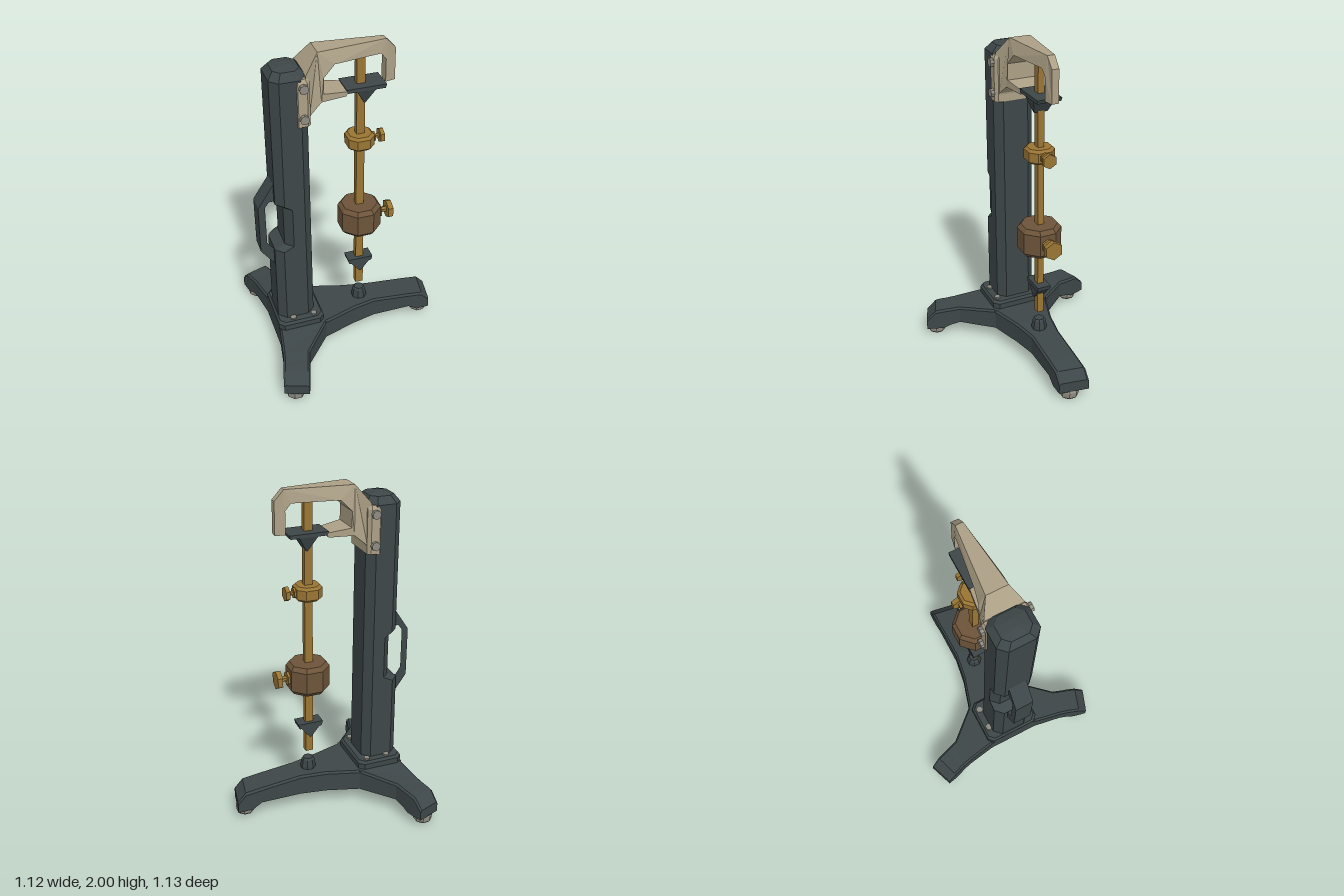
import * as THREE from 'three';

const mat = (name, color) => Object.assign(new THREE.MeshStandardMaterial({ color, flatShading: true }), { name });

// Closed solid through convex rings of equal point count; winding is corrected by signed volume.
function loft(rings) {
  const n = rings[0].length, pts = rings.flat(), idx = [];
  for (let r = 0; r < rings.length - 1; r++)
    for (let i = 0; i < n; i++) {
      const a = r * n + i, b = r * n + (i + 1) % n;
      idx.push(a, b, b + n, a, b + n, a + n);
    }
  const last = (rings.length - 1) * n;
  for (let i = 1; i < n - 1; i++) idx.push(0, i + 1, i, last, last + i, last + i + 1);
  const v = pts.map(p => new THREE.Vector3(...p));
  let vol = 0;
  for (let i = 0; i < idx.length; i += 3)
    vol += v[idx[i]].dot(v[idx[i + 1]].clone().cross(v[idx[i + 2]]));
  if (vol < 0) idx.reverse();
  const g = new THREE.BufferGeometry().setFromPoints(v);
  g.setIndex(idx);
  const flat = g.toNonIndexed();
  flat.computeVertexNormals();
  return flat;
}

// Horizontal rectangle with cut corners
const octRing = (y, x0, x1, hz, c) => [
  [x0 + c, y, -hz], [x1 - c, y, -hz], [x1, y, -hz + c], [x1, y, hz - c],
  [x1 - c, y, hz], [x0 + c, y, hz], [x0, y, hz - c], [x0, y, -hz + c]];

// Eight-sided turned solid with its flats facing the axes; profile is [flat radius, y]
function turned(profile, sides = 8) {
  const k = 1 / Math.cos(Math.PI / sides);
  const pts = profile.map(([r, y]) => new THREE.Vector2(r * k, y));
  pts.unshift(new THREE.Vector2(0, profile[0][1]));
  pts.push(new THREE.Vector2(0, profile[profile.length - 1][1]));
  return new THREE.LatheGeometry(pts, sides, Math.PI / sides);
}

function extruded(outline, holes, depth) {
  const s = new THREE.Shape(outline.map(p => new THREE.Vector2(...p)));
  for (const h of holes) s.holes.push(new THREE.Path(h.map(p => new THREE.Vector2(...p))));
  return new THREE.ExtrudeGeometry(s, { depth, bevelEnabled: false }).translate(0, 0, -depth / 2);
}

export function createModel() {
  const iron = mat('dark iron', 0x3d4648);
  const cream = mat('cream casting', 0xaca086);
  const brass = mat('brass', 0x997533);
  const bronze = mat('brown bronze', 0x6d543a);
  const steel = mat('dull steel', 0x8e8b82);
  const model = new THREE.Group();
  const add = (name, geo, m, x = 0, y = 0, z = 0) => {
    const mesh = new THREE.Mesh(geo, m);
    mesh.name = name;
    mesh.position.set(x, y, z);
    model.add(mesh);
    return mesh;
  };

  // Tripod base: hub and three drooping legs with chamfered top edges
  const hub = y => [[-0.2, y, -0.18], [-0.2, y, 0.18], [-0.49, y, 0.16], [-0.49, y, -0.16]];
  add('baseHub', loft([hub(0.1), hub(0.23)]), iron);
  const legRing = ([ax, az, bx, bz, top, bot]) => {
    const t = 0.012 / Math.hypot(bx - ax, bz - az), dx = (bx - ax) * t, dz = (bz - az) * t;
    return [[ax, bot, az], [ax, top - 0.012, az], [ax + dx, top, az + dz],
      [bx - dx, top, bz - dz], [bx, top - 0.012, bz], [bx, bot, bz]];
  };
  const longLeg = [
    [-0.2, -0.18, -0.2, 0.18, 0.23, 0.1], [0.0, -0.12, 0.0, 0.118, 0.23, 0.1],
    [0.16, -0.095, 0.15, 0.085, 0.225, 0.1], [0.41, -0.095, 0.39, 0.085, 0.198, 0.1],
    [0.47, -0.095, 0.45, 0.085, 0.19, 0.062], [0.51, -0.095, 0.48, 0.085, 0.185, 0.062],
    [0.56, -0.095, 0.53, 0.085, 0.13, 0.062]];
  add('frontLeg', loft(longLeg.map(legRing)), iron);
  const sideLeg = [
    [-0.2, 0.18, -0.49, 0.16, 0.23, 0.1], [-0.36, 0.365, -0.52, 0.34, 0.208, 0.1],
    [-0.38, 0.43, -0.535, 0.4, 0.2, 0.08], [-0.39, 0.465, -0.545, 0.43, 0.197, 0.062],
    [-0.405, 0.51, -0.553, 0.46, 0.19, 0.062], [-0.425, 0.567, -0.565, 0.515, 0.13, 0.062]];
  for (const s of [1, -1])
    add('sideLeg', loft(sideLeg.map(([ax, az, bx, bz, t, b]) => legRing([ax, az * s, bx, bz * s, t, b]))), iron);

  // Levelling feet
  for (const [x, z] of [[0.49, 0], [-0.487, 0.48], [-0.487, -0.48]])
    add('foot', turned([[0.042, 0], [0.052, 0.012], [0.054, 0.045], [0.045, 0.064]]), steel, x, 0, z);

  // Underside boss, column plate and its bolts, stop post
  add('undersideBoss', turned([[0.075, 0.036], [0.1, 0.05], [0.11, 0.075], [0.11, 0.105]]), iron, -0.352);
  add('columnPlate', loft([octRing(0.225, -0.49, -0.205, 0.175, 0.03), octRing(0.265, -0.49, -0.205, 0.175, 0.03),
    octRing(0.28, -0.478, -0.217, 0.163, 0.03)]), iron);
  for (const x of [-0.395, -0.265])
    for (const z of [0.135, -0.135])
      add('plateBolt', new THREE.CylinderGeometry(0.019, 0.019, 0.02, 8), steel, x, 0.28, z);
  add('stopPost', turned([[0.045, 0.215], [0.042, 0.25], [0.036, 0.285], [0.028, 0.297]]), iron, 0.075);

  // Column, notched behind the grip, with a domed top
  const column = [[0.27, -0.475], [0.79, -0.472], [0.82, -0.412], [1.08, -0.412], [1.11, -0.457], [1.885, -0.455]]
    .map(([y, back]) => octRing(y, back, -0.25, 0.122, 0.045));
  column.push(octRing(1.925, -0.425, -0.28, 0.085, 0.035), octRing(1.938, -0.375, -0.325, 0.025, 0.01));
  add('column', loft(column), iron);

  // Grip loop on the back of the column
  add('gripLoop', extruded(
    [[-0.4, 0.67], [-0.475, 0.675], [-0.55, 0.78], [-0.55, 1.085], [-0.455, 1.23], [-0.4, 1.23]],
    [[[-0.51, 0.835], [-0.51, 1.085], [-0.485, 1.118], [-0.432, 1.118], [-0.411, 1.085], [-0.411, 0.82], [-0.432, 0.785], [-0.48, 0.792]]],
    0.11), iron);

  // Bracket clamp and its cross bolts
  add('clamp', loft([octRing(1.61, -0.33, -0.243, 0.127, 0.018), octRing(1.865, -0.33, -0.243, 0.127, 0.018),
    octRing(1.887, -0.32, -0.25, 0.115, 0.018)]), cream);
  for (const y of [1.66, 1.84])
    for (const s of [1, -1])
      add('clampBolt', new THREE.CylinderGeometry(0.026, 0.026, 0.026, 8).rotateX(Math.PI / 2), steel, -0.283, y, s * 0.134);

  // Overhanging arm, extruded from the side and narrowed towards its tip and top edge
  const arm = extruded(
    [[-0.255, 1.615], [-0.24, 1.665], [-0.175, 1.72], [-0.03, 1.72], [-0.015, 1.745], [-0.16, 1.765],
      [-0.16, 1.86], [-0.095, 1.925], [0.175, 1.925], [0.207, 1.885], [0.207, 1.75], [0.265, 1.75],
      [0.265, 1.94], [0.21, 2], [-0.185, 2], [-0.265, 1.9]], [], 2);
  const widths = [[-0.27, 0.115], [-0.175, 0.09], [0.2, 0.034], [0.27, 0.02]];
  const halfWidth = x => {
    const i = Math.max(1, widths.findIndex(w => w[0] >= x));
    const [x0, w0] = widths[i - 1], [x1, w1] = widths[i];
    return w0 + (w1 - w0) * (x - x0) / (x1 - x0);
  };
  const p = arm.attributes.position;
  for (let i = 0; i < p.count; i++)
    p.setZ(i, p.getZ(i) * halfWidth(p.getX(i)) * (p.getY(i) > 1.98 ? 0.68 : 1));
  arm.computeVertexNormals();
  add('arm', arm, cream);

  // Pendulum rod
  add('rod', new THREE.BoxGeometry(0.048, 1.57, 0.038), brass, 0.071, 1.135, 0);

  // Knife edges: flat plate over a downward wedge
  const rect = (y, hx, hz) => [[-hx, y, -hz], [hx, y, -hz], [hx, y, hz], [-hx, y, hz]];
  const knife = (name, x, top, hx, hz, t, wx, tipHz, drop) => {
    add(name + 'Plate', loft([rect(top - t, hx - 0.008, hz), rect(top, hx, hz)]), iron, x);
    add(name + 'Wedge', loft([rect(top - drop, 0.004, tipHz), rect(top - t, wx, hz - 0.004)]), iron, x);
  };
  knife('upperKnife', 0.086, 1.757, 0.115, 0.073, 0.022, 0.055, 0.04, 0.11);
  knife('lowerKnife', 0.07, 0.556, 0.078, 0.042, 0.03, 0.06, 0.038, 0.1);

  // Sliding weights
  add('mainWeight', turned([[0.1, 0.775], [0.12, 0.8], [0.12, 0.93], [0.1, 0.955]]), bronze, 0.073);
  add('smallSlider', loft([octRing(1.353, -0.063, 0.063, 0.066, 0.035), octRing(1.368, -0.077, 0.077, 0.08, 0.04),
    octRing(1.425, -0.077, 0.077, 0.08, 0.04), octRing(1.44, -0.063, 0.063, 0.066, 0.035)]), brass, 0.071);

  // Clamping thumbscrews: collar, stem and six-sided head
  const screw = (name, x, y, k) => {
    const g = turned([[0.034, 0], [0.034, 0.016], [0.014, 0.016], [0.014, 0.05], [0.046, 0.05], [0.046, 0.078]], 6);
    add(name, g.scale(k, k, k).rotateZ(-Math.PI / 2), brass, x, y);
  };
  screw('weightScrew', 0.19, 0.865, 1.08);
  screw('sliderScrew', 0.146, 1.397, 0.82);

  return model;
}
